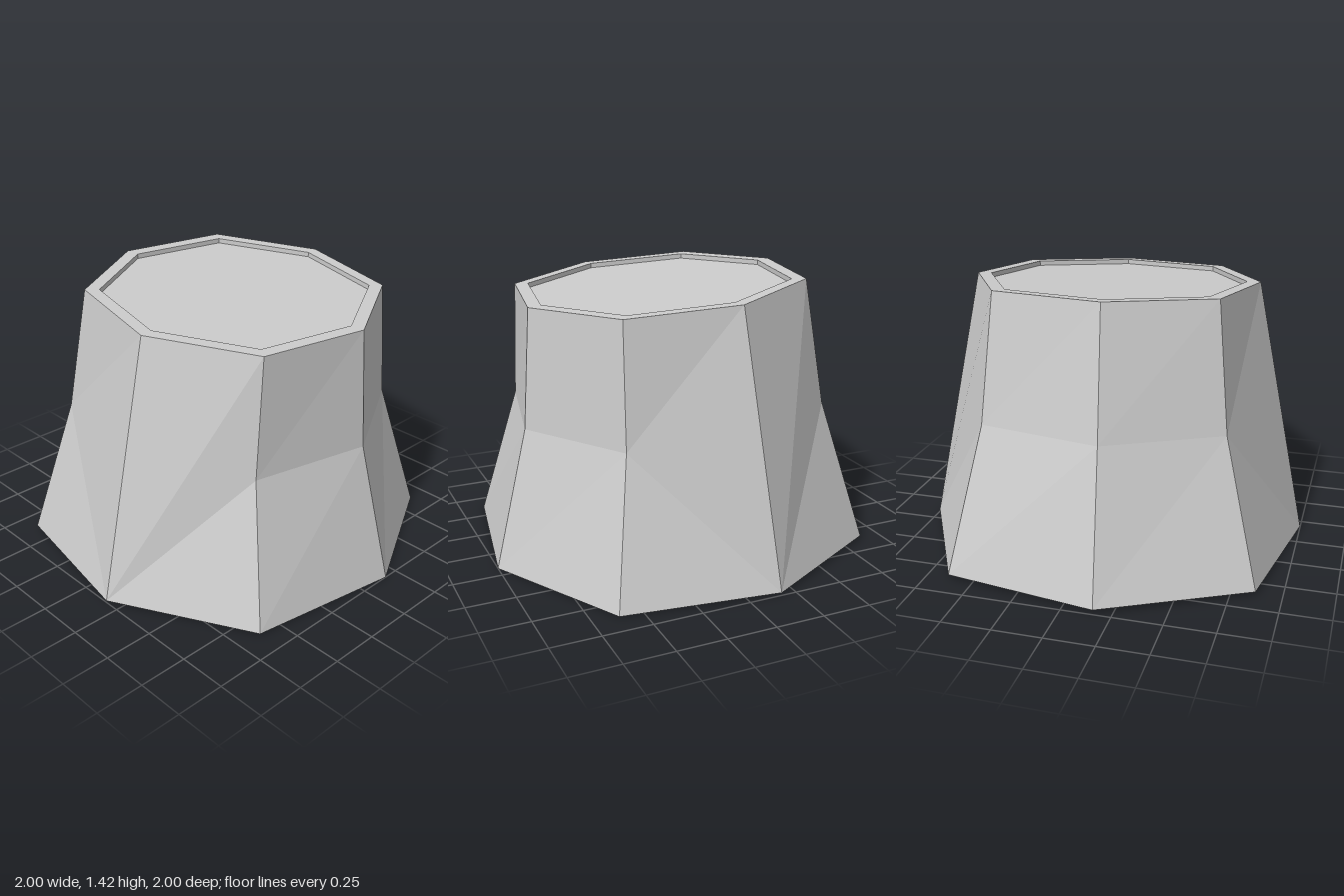
import * as THREE from 'three';

// Corner outlines as [x, z], running clockwise seen from above
const BASE = [[-0.17, -1], [0.62, -0.88], [1, -0.17], [0.87, 0.62], [0.17, 1], [-0.62, 0.87], [-1, 0.16], [-0.87, -0.63]];
const WAIST = [null, [0.5, -0.69], [0.82, -0.14], [0.69, 0.48], null, [-0.48, 0.68], [-0.8, 0.13], [-0.67, -0.5]];
const TOP = [[-0.07, -0.74], [0.49, -0.64], [0.78, -0.14], [0.68, 0.43], [0.18, 0.72], [-0.39, 0.61], [-0.67, 0.11], [-0.57, -0.46]];
const CENTRE = [0.054, -0.014];

// Lift an outline onto a plane that slopes down towards +x
const lift = (outline, y, slope) =>
  outline.map((p) => p && new THREE.Vector3(p[0], y - slope * p[0], p[1]));

// Faceted band between two rings, facing outward when lower comes first
function band(lower, upper) {
  const points = [];
  const triangle = (a, b, c) => {
    if (a !== b && b !== c && a !== c) points.push(a, b, c);
  };
  lower.forEach((a, i) => {
    const j = (i + 1) % lower.length;
    triangle(lower[j], a, upper[i]);
    triangle(lower[j], upper[i], upper[j]);
  });
  const geometry = new THREE.BufferGeometry().setFromPoints(points);
  geometry.computeVertexNormals();
  return geometry;
}

export function createModel() {
  const group = new THREE.Group();
  const grey = new THREE.MeshStandardMaterial({ color: 0xcccccc, side: THREE.DoubleSide, flatShading: true });
  grey.name = 'grey';
  const add = (name, lower, upper) => {
    const mesh = new THREE.Mesh(band(lower, upper), grey);
    mesh.name = name;
    group.add(mesh);
  };

  const base = lift(BASE, 0.012, 0.012);
  // Two opposite corners run straight, so their waist point stays at the foot
  const waist = lift(WAIST, 0.74, 0.035).map((p, i) => p || base[i]);
  const top = lift(TOP, 1.375, 0.068);
  const inset = TOP.map((p) => p.map((v, k) => CENTRE[k] + (v - CENTRE[k]) * 0.905));
  const rimInner = lift(inset, 1.375, 0.068);
  const capEdge = lift(inset, 1.35, 0.068);
  const middle = lift([CENTRE], 1.35, 0.068)[0];

  // Open-bottomed walls: flared skirt below, steeper body above
  add('flaredSkirt', base, waist);
  add('upperWall', waist, top);

  // Sloping rim around a shallow recess
  add('rim', top, rimInner);
  add('recessWall', rimInner, capEdge);
  add('cap', capEdge, capEdge.map(() => middle));
  return group;
}
